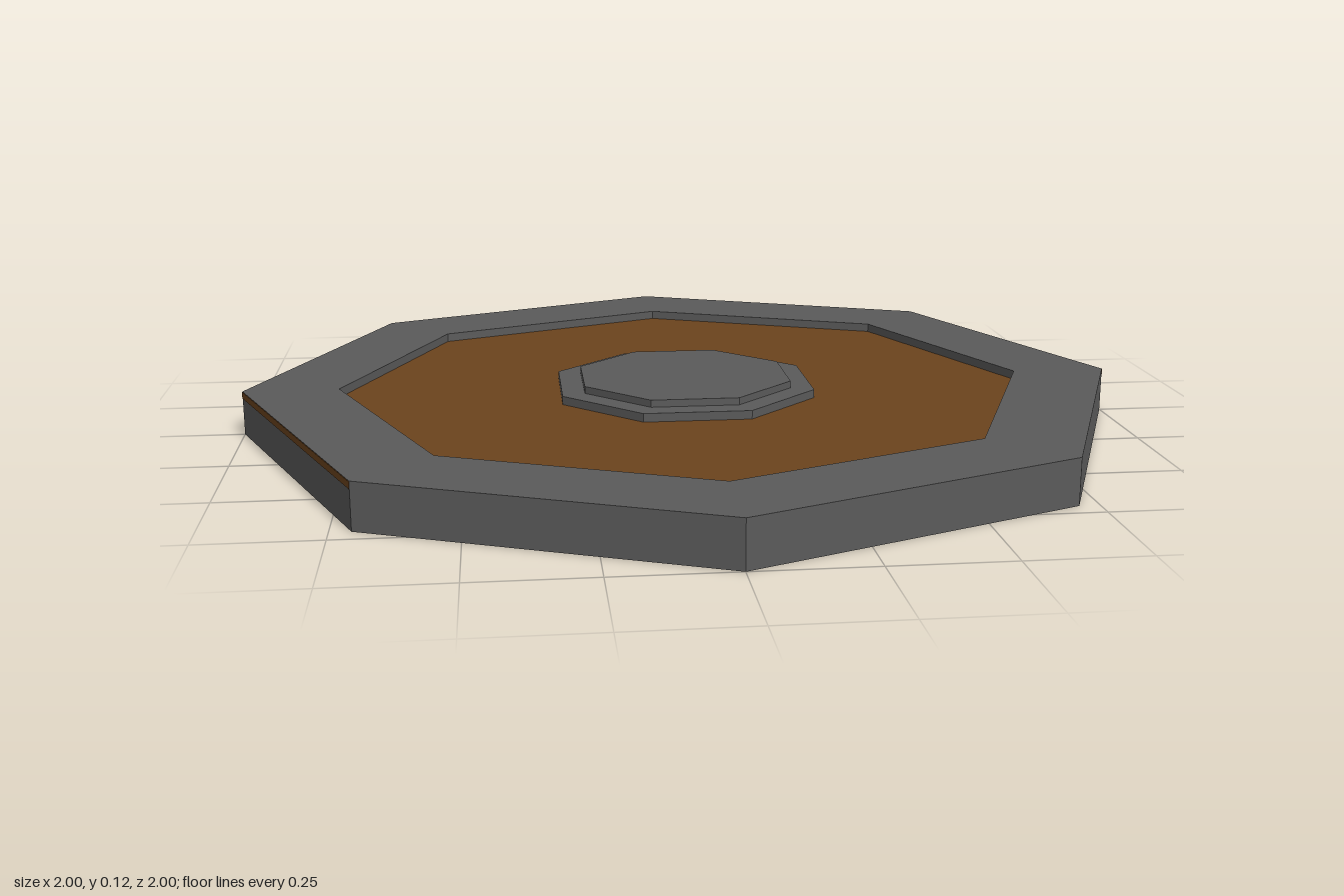
import * as THREE from 'three';

const SIDES = 8;

function material(color) {
  return new THREE.MeshStandardMaterial({ color, flatShading: true });
}

// Octagon outline with its corners on the axes
function octagon(radius, Path) {
  const points = [];
  for (let i = 0; i < SIDES; i++) {
    const a = (i / SIDES) * Math.PI * 2;
    points.push(new THREE.Vector2(radius * Math.cos(a), radius * Math.sin(a)));
  }
  return new Path(points);
}

// Octagonal slab between two heights
function slab(name, radius, bottom, top, turn, mat) {
  const mesh = new THREE.Mesh(new THREE.CylinderGeometry(radius, radius, top - bottom, SIDES), mat);
  mesh.name = name;
  mesh.position.y = (bottom + top) / 2;
  mesh.rotation.y = turn;
  return mesh;
}

export function createModel() {
  const model = new THREE.Group();
  model.name = 'octagonalShield';
  const metal = material(0x5a5a5a);
  const wood = material(0x6b431d);

  // Metal rim with an octagonal opening
  const outline = octagon(1, THREE.Shape);
  outline.holes.push(octagon(0.785, THREE.Path));
  const rimGeometry = new THREE.ExtrudeGeometry(outline, { depth: 0.1, bevelEnabled: false });
  rimGeometry.rotateX(-Math.PI / 2);
  const rim = new THREE.Mesh(rimGeometry, metal);
  rim.name = 'rim';
  model.add(rim);

  // Recessed wooden panel
  model.add(slab('panel', 0.785, 0.012, 0.08, 0, wood));

  // Two-tier boss with flat sides facing the axes
  const flat = Math.PI / SIDES;
  model.add(slab('bossBase', 0.308, 0.08, 0.099, flat, metal));
  model.add(slab('bossCap', 0.253, 0.099, 0.115, flat, metal));

  // Wooden edge strips on two opposite sides of the rim
  const apothem = Math.cos(flat);
  const strips = new THREE.Group();
  strips.name = 'edgeStrips';
  strips.rotation.y = flat;
  for (const side of [-1, 1]) {
    const strip = new THREE.Mesh(new THREE.BoxGeometry(0.004, 0.015, 2 * Math.sin(flat)), wood);
    strip.name = 'edgeStrip';
    strip.position.set(side * (apothem - 0.001), 0.0915, 0);
    strips.add(strip);
  }
  model.add(strips);

  return model;
}
